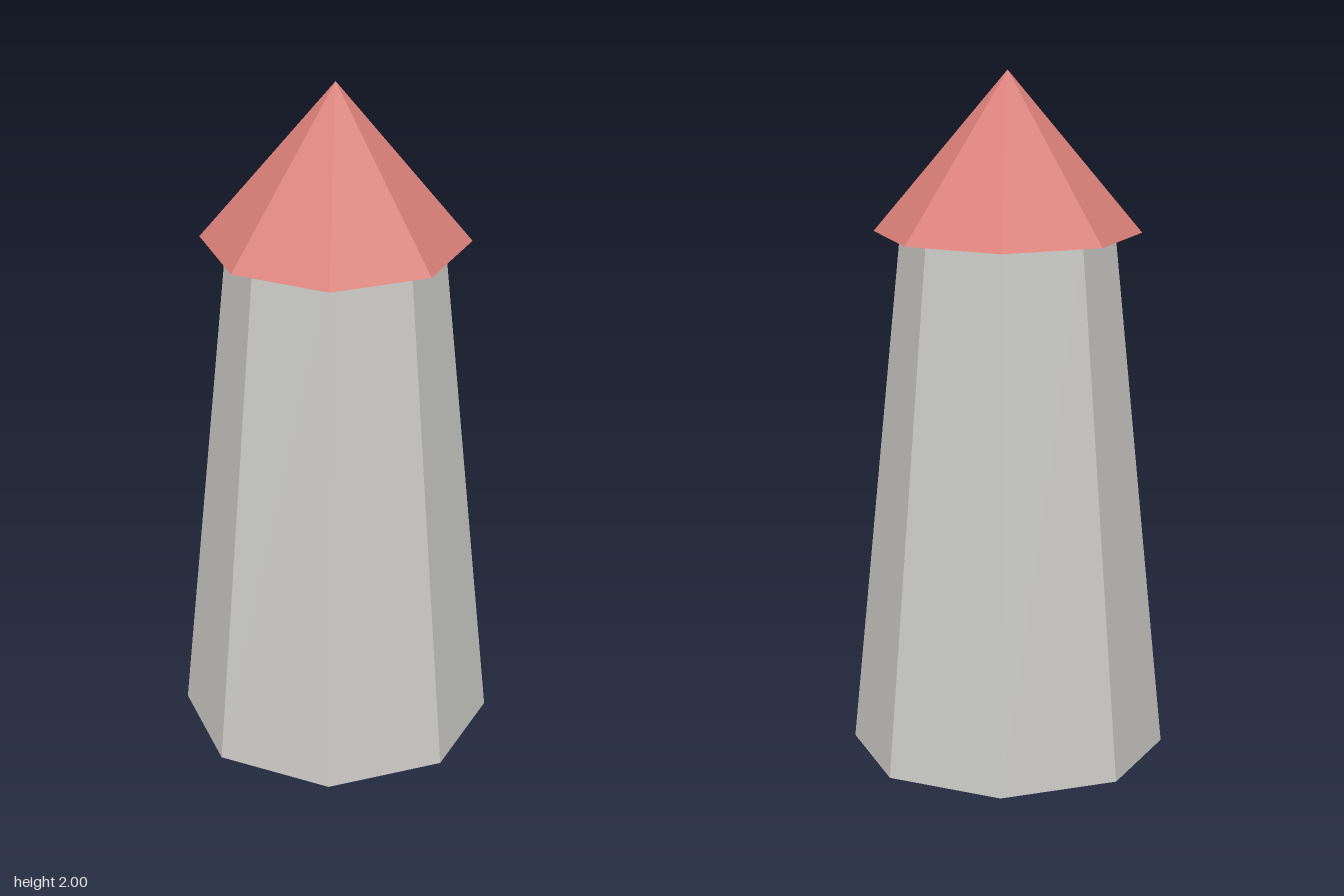
import * as THREE from 'three';

const SIDES = 8;
const WALL_HEIGHT = 1.54;
const ROOF_HEIGHT = 0.46;

export function createModel() {
  const group = new THREE.Group();
  group.name = 'tower';

  const stone = new THREE.MeshStandardMaterial({ color: 0xcbcac6, flatShading: true });
  stone.name = 'pale stone';
  const tile = new THREE.MeshStandardMaterial({ color: 0xd97f78, flatShading: true });
  tile.name = 'red tile';

  // Tapered octagonal wall
  const wall = new THREE.Mesh(
    new THREE.CylinderGeometry(0.308, 0.461, WALL_HEIGHT, SIDES), stone);
  wall.name = 'wall';
  wall.position.y = WALL_HEIGHT / 2;
  group.add(wall);

  // Pointed roof with overhanging eaves
  const roof = new THREE.Mesh(
    new THREE.ConeGeometry(0.384, ROOF_HEIGHT, SIDES), tile);
  roof.name = 'roof';
  roof.position.y = WALL_HEIGHT + ROOF_HEIGHT / 2;
  group.add(roof);

  return group;
}
